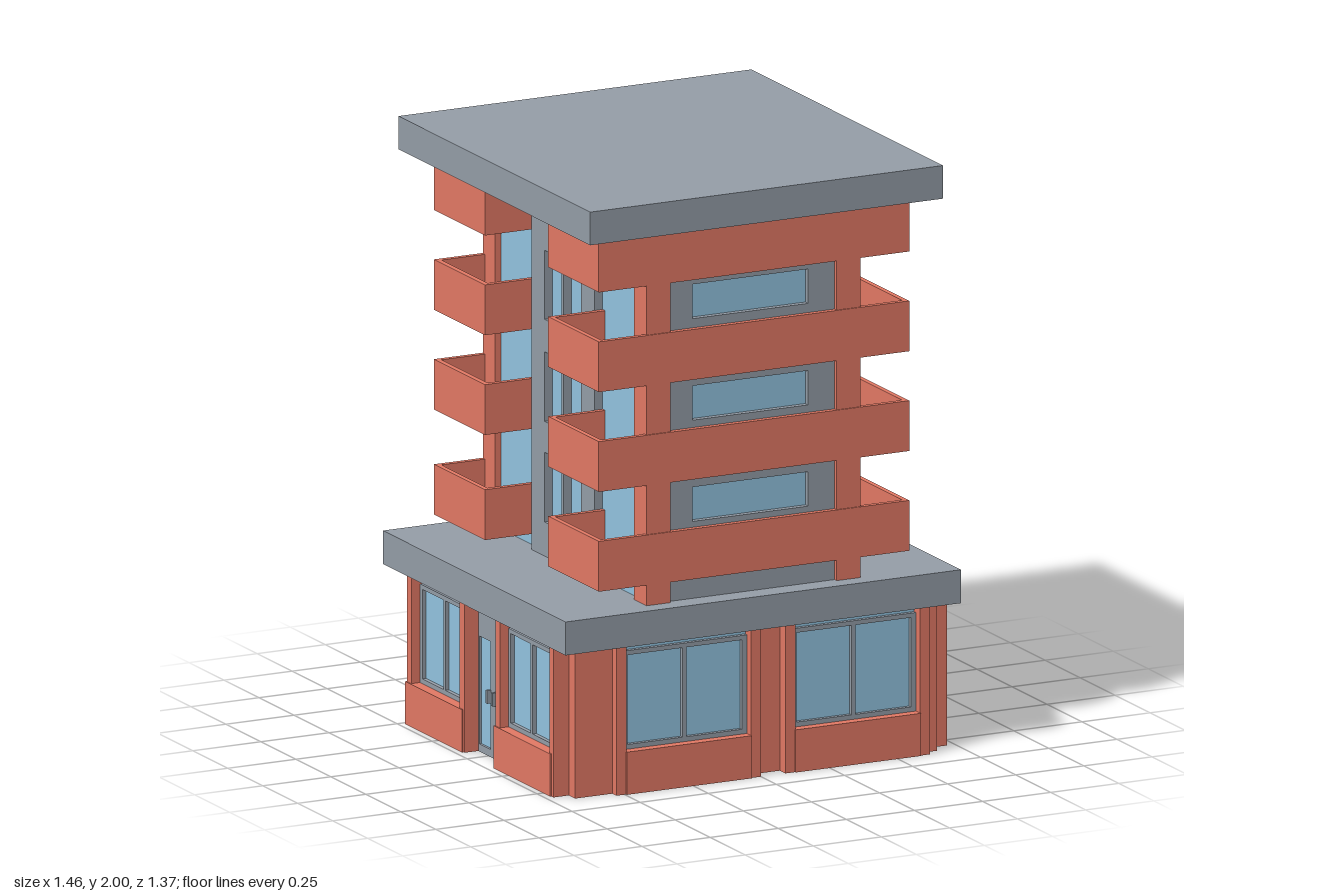
import * as THREE from 'three';

const mat = (name, color) => {
  const m = new THREE.MeshStandardMaterial({ color });
  m.name = name;
  return m;
};

export function createModel() {
  const red = mat('brick red', 0xe57a66);
  const grey = mat('concrete grey', 0x969fa9);
  const blue = mat('glass blue', 0x94c6e3);
  const tan = mat('interior tan', 0xe2cb9c);
  const model = new THREE.Group();
  model.name = 'apartmentBuilding';

  const group = (name) => {
    const g = new THREE.Group();
    g.name = name;
    model.add(g);
    return g;
  };
  // Box given by its limits, in either order
  const box = (parent, name, m, x0, x1, y0, y1, z0, z1) => {
    const geo = new THREE.BoxGeometry(Math.abs(x1 - x0), Math.abs(y1 - y0), Math.abs(z1 - z0));
    const mesh = new THREE.Mesh(geo, m);
    mesh.position.set((x0 + x1) / 2, (y0 + y1) / 2, (z0 + z1) / 2);
    mesh.name = name;
    parent.add(mesh);
  };
  const rect = (path, u0, u1, v0, v1) =>
    path.moveTo(u0, v0).lineTo(u1, v0).lineTo(u1, v1).lineTo(u0, v1).closePath();
  // Wall with rectangular openings; each list is [u0, u1, v0, v1]
  const wall = (parent, name, m, outline, holes, depth) => {
    const shape = new THREE.Shape();
    rect(shape, ...outline);
    holes.forEach((h) => shape.holes.push(rect(new THREE.Path(), ...h)));
    const mesh = new THREE.Mesh(new THREE.ExtrudeGeometry(shape, { depth, bevelEnabled: false }), m);
    mesh.name = name;
    parent.add(mesh);
    return mesh;
  };

  // Flat roof and the canopy slab over the shop floor
  box(model, 'roof', grey, -0.65, 0.645, 1.888, 2, -0.685, 0.685);
  box(model, 'canopySlab', grey, -0.73, 0.722, 0.507, 0.62, -0.64, 0.664);

  // Tower: glazed core, corner columns, end walls with slot windows
  const tower = group('tower');
  const cx = -0.008;
  box(tower, 'glazedCore', blue, cx - 0.37, cx + 0.37, 0.62, 1.875, -0.535, 0.567);
  for (const s of [-1, 1]) {
    box(tower, 'frontColumn', red, cx + s * 0.305, cx + s * 0.393, 0.62, 1.882, 0.515, 0.602);
    box(tower, 'backColumn', red, cx + s * 0.305, cx + s * 0.393, 0.62, 1.882, -0.48, -0.567);
  }
  const slots = [0.88, 1.222, 1.565].map((y) => [-0.225, 0.2, y, y + 0.116]);
  const endOutline = [cx - 0.305, cx + 0.305, 0.62, 1.88];
  wall(tower, 'frontWall', grey, endOutline, slots, 0.02).position.z = 0.567;
  wall(tower, 'backWall', grey, endOutline, slots, 0.02).position.z = -0.555;

  // Stair strip on each side, with paired windows
  const stairs = [[0.735, 0.97], [1.075, 1.31], [1.42, 1.653], [1.76, 1.875]];
  for (const s of [-1, 1]) {
    const holes = [];
    stairs.forEach(([a, b]) => holes.push([-0.15, -0.022, a, b], [-0.01, 0.112, a, b]));
    const strip = wall(tower, 'stairStrip', grey, [-0.245, 0.207, 0.62, 1.88], holes, 0.03);
    strip.rotation.y = Math.PI / 2;
    strip.position.x = s > 0 ? cx + 0.37 : cx - 0.4;
  }

  // Balconies: a band across each end and an open tray around each corner
  const balconies = group('balconies');
  const t = 0.018;
  for (const d of [1, -1]) {
    const zOut = d > 0 ? 0.606 : -0.571;
    const zIn = d > 0 ? 0.245 : -0.207;
    const zWall = d > 0 ? 0.57 : -0.54;
    [0, 1, 2, 3].forEach((i) => {
      const y0 = i ? 0.69 + i * 0.337 : (d > 0 ? 0.69 : 0.672);
      const y1 = y0 + 0.17;
      box(balconies, 'parapetBand', red, cx - 0.57, cx + 0.57, y0, y1, zOut - d * t, zOut);
      box(balconies, 'bandBacking', red, cx - 0.31, cx + 0.31, y0, y1, zWall, zOut - d * t);
      for (const s of [-1, 1]) {
        const xi = cx + s * 0.37, xo = cx + s * 0.57;
        box(balconies, 'sideParapet', red, xo, xo - s * t, y0, y1, zIn, zOut - d * t);
        box(balconies, 'endParapet', red, xi, xo - s * t, y0, y1, zIn, zIn + d * t);
        box(balconies, 'balconyFloor', red, xi, xo - s * t, y0, y0 + t, zIn + d * t, zOut - d * t);
      }
    });
  }

  // Shop floor shell
  const shop = group('shopFloor');
  box(shop, 'backWall', red, -0.67, 0.66, 0.003, 0.507, -0.57, -0.545);
  box(shop, 'floorPanel', red, -0.2, 0.65, 0.005, 0.02, -0.25, 0.57);
  box(shop, 'frontLeftPier', red, 0.585, 0.66, 0.003, 0.507, 0.56, 0.61);
  box(shop, 'frontCentrePier', red, -0.035, 0.125, 0.003, 0.507, 0.56, 0.6);
  box(shop, 'frontRightPier', red, -0.667, -0.495, 0.003, 0.507, 0.56, 0.61);
  for (const x of [-0.53, -0.037, 0.09, 0.583]) {
    box(shop, 'frontPilaster', red, x, x + 0.037, 0.003, 0.507, 0.6, 0.64);
  }
  // Front shop windows over low brick panels
  for (const x of [-0.495, 0.125]) {
    box(shop, 'frontPlinth', red, x, x + 0.46, 0.003, 0.147, 0.56, 0.645);
    box(shop, 'frontGlass', blue, x, x + 0.46, 0.147, 0.507, 0.59, 0.598);
    wall(shop, 'frontWindowFrame', grey, [x, x + 0.46, 0.147, 0.48],
      [[x + 0.02, x + 0.222, 0.163, 0.465], [x + 0.236, x + 0.44, 0.163, 0.465]], 0.03).position.z = 0.582;
  }

  // Side shop fronts: piers, windows and a double door
  for (const s of [-1, 1]) {
    const X = (d) => -0.001 + s * d;
    const sideBox = (name, m, d0, d1, y0, y1, z0, z1) => box(shop, name, m, X(d0), X(d1), y0, y1, z0, z1);
    const sideWall = (name, outline, holes, d0, depth) => {
      const w = wall(shop, name, grey, outline, holes, depth);
      w.rotation.y = Math.PI / 2;
      w.position.x = s > 0 ? X(d0) : X(d0 + depth);
    };
    sideBox('backPier', red, 0.635, 0.668, 0.003, 0.507, -0.57, -0.45);
    sideBox('frontPier', red, 0.635, 0.662, 0.003, 0.507, 0.51, 0.61);
    for (const [z0, z1] of [[0.535, 0.565], [0.152, 0.182], [-0.072, -0.105], [-0.45, -0.48]]) {
      sideBox('sidePilaster', red, 0.64, 0.722, 0.003, 0.507, z0, z1);
    }
    for (const [z0, z1, p0, p1] of [[0.182, 0.51, 0.145, 0.55], [-0.45, -0.105, -0.485, -0.08]]) {
      sideBox('sidePlinth', red, 0.64, 0.727, 0.003, 0.147, p0, p1);
      sideBox('sideGlass', blue, 0.668, 0.676, 0.147, 0.507, z0, z1);
      const mid = -(z0 + z1) / 2;
      sideWall('sideWindowFrame', [-z1, -z0, 0.147, 0.48],
        [[-z1 + 0.015, mid - 0.007, 0.163, 0.465], [mid + 0.007, -z0 - 0.015, 0.163, 0.465]], 0.66, 0.03);
    }
    sideWall('doorFrame', [-0.152, 0.072, 0.003, 0.507],
      [[-0.146, -0.052, 0.028, 0.393], [-0.015, 0.066, 0.028, 0.393]], 0.65, 0.02);
    sideBox('doorGlass', blue, 0.655, 0.662, 0.02, 0.4, -0.069, 0.149);
    for (const z of [0.048, 0.008]) {
      sideBox('doorHandle', grey, 0.67, 0.685, 0.185, 0.23, z, z + 0.01);
    }
  }

  // Interior partitions and counter tops near the right-hand door
  for (const z of [-0.12, 0.05, 0.25]) {
    box(shop, 'partition', grey, -0.5, -0.36, 0.02, 0.4, z, z + 0.02);
    box(shop, 'counter', tan, -0.6, -0.5, 0.02, 0.1, z, z + 0.05);
  }
  return model;
}
